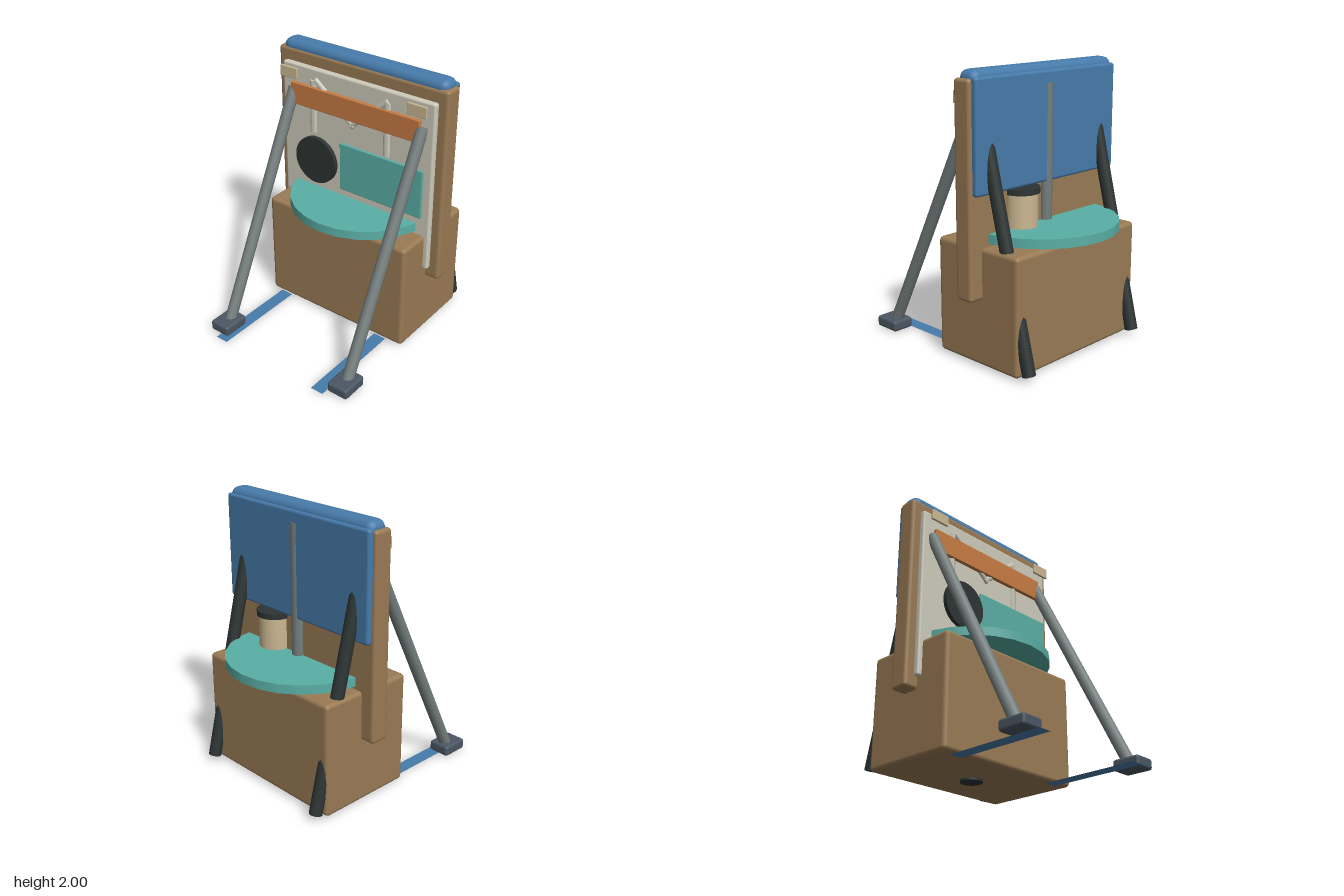
import * as THREE from 'three';
import { RoundedBoxGeometry } from 'three/addons/geometries/RoundedBoxGeometry.js';

const paint = (name, color, extra = {}) => {
  const m = new THREE.MeshStandardMaterial({ color, ...extra });
  m.name = name;
  return m;
};

export function createModel() {
  const model = new THREE.Group();
  model.name = 'displayStand';

  const brown = paint('brown', 0x9a7b55);
  const blue = paint('blue', 0x477bab);
  const stripBlue = paint('stripBlue', 0x477bab, { side: THREE.DoubleSide });
  const teal = paint('teal', 0x5aafa6);
  const cream = paint('cream', 0xcfccbc);
  const beige = paint('beige', 0xcbb892);
  const orange = paint('orange', 0xc87c44);
  const black = paint('charcoal', 0x2d3433);
  const grey = paint('grey', 0x757e7e);
  const slate = paint('slate', 0x4b5763);

  const add = (name, geometry, material) => {
    const mesh = new THREE.Mesh(geometry, material);
    mesh.name = name;
    model.add(mesh);
    return mesh;
  };
  // box given by its limits on each axis, with softened edges if r > 0
  const box = (name, [x0, x1], [y0, y1], [z0, z1], material, r = 0) => {
    const size = [x1 - x0, y1 - y0, z1 - z0];
    const geometry = r ? new RoundedBoxGeometry(...size, 2, r) : new THREE.BoxGeometry(...size);
    const mesh = add(name, geometry, material);
    mesh.position.set((x0 + x1) / 2, (y0 + y1) / 2, (z0 + z1) / 2);
    return mesh;
  };
  // straight round bar between two points
  const rod = (name, from, to, radius, material, sides = 12) => {
    const a = new THREE.Vector3(...from), b = new THREE.Vector3(...to);
    const dir = b.clone().sub(a);
    const mesh = add(name, new THREE.CylinderGeometry(radius, radius, dir.length(), sides), material);
    mesh.position.copy(a).add(b).multiplyScalar(0.5);
    mesh.quaternion.setFromUnitVectors(new THREE.Vector3(0, 1, 0), dir.normalize());
    return mesh;
  };

  // base, upright board and its cover
  box('baseBox', [-0.61, 0.61], [0.02, 0.845], [-0.64, 0.1], brown, 0.03);
  box('uprightBoard', [-0.715, 0.715], [0.49, 1.945], [-0.325, -0.183], brown, 0.025);
  box('topCap', [-0.69, 0.69], [1.86, 2], [-0.347, -0.193], blue, 0.055);
  box('backPanel', [-0.69, 0.69], [1.2, 1.955], [-0.365, -0.31], blue, 0.02);
  box('frontPanel', [-0.645, 0.645], [0.575, 1.855], [-0.19, -0.14], cream, 0.015);
  rod('bottomPlug', [0, 0.004, -0.28], [0, 0.04, -0.28], 0.08, black, 20);

  // round table on its slide
  rod('roundTable', [0, 0.865, -0.275], [0, 0.93, -0.275], 0.555, teal, 24);
  box('tableSlide', [-0.47, 0.41], [0.84, 0.866], [-0.365, -0.1], black);

  // rear post and canister
  rod('rearPost', [0, 0.84, -0.33], [0, 1.87, -0.33], 0.045, grey, 10);
  rod('canister', [0.245, 0.92, -0.325], [0.245, 1.16, -0.325], 0.118, beige, 24);
  rod('canisterLid', [0.245, 1.16, -0.325], [0.245, 1.2, -0.325], 0.131, black, 24);

  // fittings on the front panel
  rod('frontDisc', [-0.298, 1.187, -0.095], [-0.298, 1.187, -0.063], 0.18, black, 40);
  box('tealPlate', [-0.105, 0.595], [1, 1.37], [-0.122, -0.1], teal, 0.008);
  box('crossBar', [-0.55, 0.545], [1.56, 1.725], [-0.14, -0.108], orange, 0.006);
  for (const x of [-0.365, 0.275])
    rod('hookBar', [x, 1.37, -0.147], [x, 1.77, -0.147], 0.03, cream, 6);
  rod('braceRight', [-0.345, 1.78, -0.142], [0, 1.51, -0.142], 0.024, cream, 6);
  rod('braceLeft', [0.28, 1.78, -0.142], [-0.035, 1.51, -0.142], 0.024, cream, 6);

  // mirrored supports
  for (const s of [-1, 1]) {
    const x = 0.55 * s;
    rod('frontStrut', [x, 0.05, 0.665], [x, 1.67, -0.15], 0.043, grey, 12);
    rod('rearLeg', [x, 0.05, -0.69], [x, 1.6, -0.3], 0.047, black, 12);
    box('foot', [x - 0.083, x + 0.083], [0.008, 0.088], [0.575, 0.783], slate, 0.02);
    const cx = 0.541 * s;
    box('cornerTab', [cx - 0.076, cx + 0.076], [1.767, 1.85], [-0.095, -0.077], beige, 0.005);
  }

  // flat floor strips
  for (const x of [-0.492, 0.408]) {
    const strip = add('floorStrip', new THREE.PlaneGeometry(0.1, 0.74), stripBlue);
    strip.rotation.x = -Math.PI / 2;
    strip.position.set(x, 0.003, 0.45);
  }
  return model;
}
